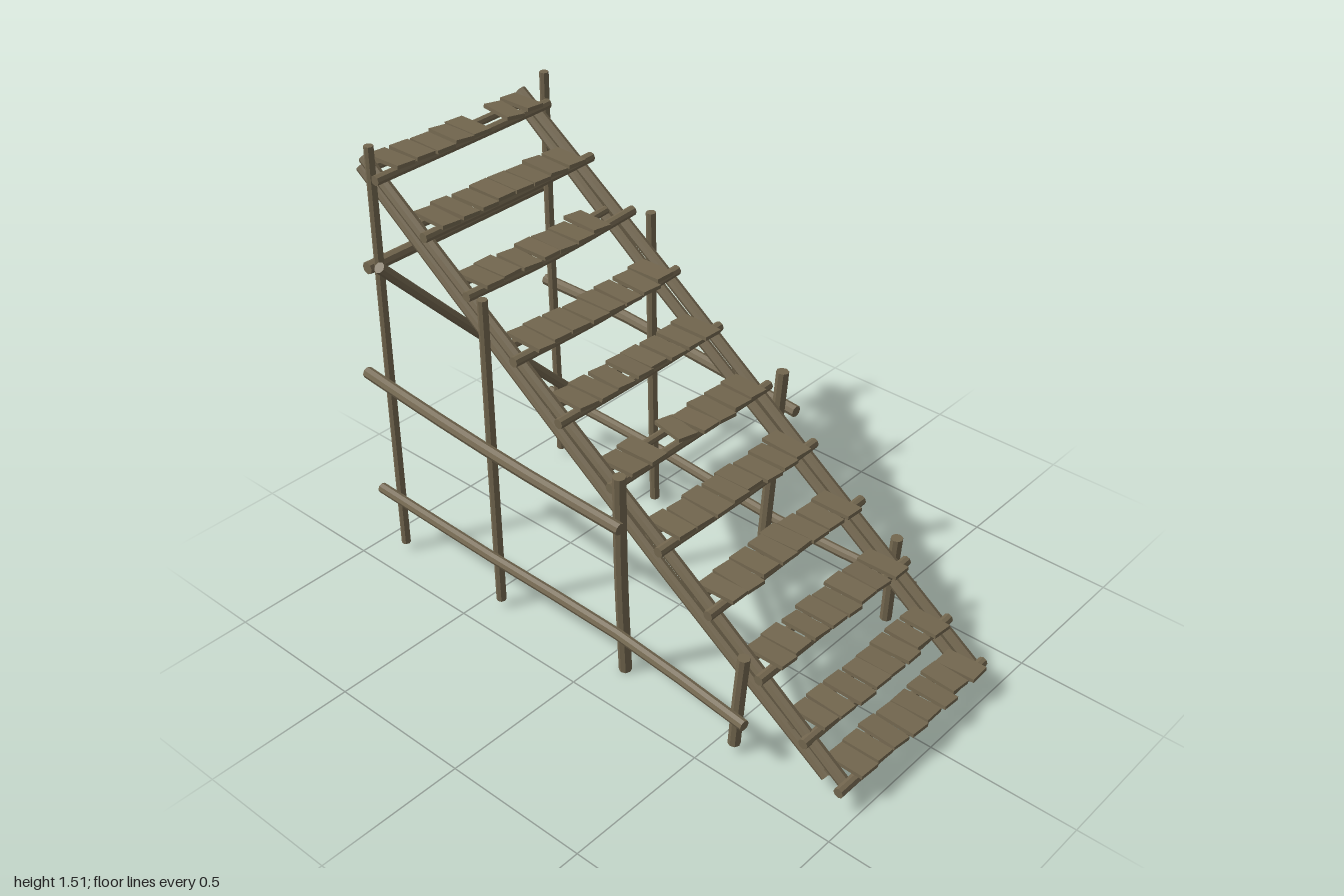
import * as THREE from 'three';

const wood = new THREE.MeshStandardMaterial({ color: 0x73674f, flatShading: true });
wood.name = 'weatheredWood';

// small seeded generator for hand-built irregularity
let seed = 11;
const jitter = (a) => {
  seed = (seed * 16807) % 2147483647;
  return (seed / 2147483647 * 2 - 1) * a;
};

// a capped round pole through a few points
function pole(name, pts, r, segments = 6, sides = 8) {
  const curve = new THREE.CatmullRomCurve3(pts.map((p) => new THREE.Vector3(...p)));
  const tube = new THREE.TubeGeometry(curve, segments, r, sides, false);
  const index = Array.from(tube.index.array);
  const last = segments * (sides + 1);
  for (let j = 1; j < sides - 1; j++) {
    index.push(0, j, j + 1, last, last + j + 1, last + j);
  }
  tube.setIndex(index);
  const geo = tube.toNonIndexed();
  geo.computeVertexNormals();
  const mesh = new THREE.Mesh(geo, wood);
  mesh.name = name;
  return mesh;
}

export function createModel() {
  const root = new THREE.Group();
  root.name = 'woodenStairway';

  for (const side of [1, -1]) {
    const label = side > 0 ? 'left' : 'right';
    // the frame sits slightly toward -x
    const X = (v) => side * v - 0.014;

    // paired sloping stringers
    root.add(pole(label + 'UpperStringer', [
      [X(0.332), 0.06, 0.95], [X(0.329), 0.505, 0.33], [X(0.334), 0.965, -0.31], [X(0.33), 1.435, -0.97]], 0.02));
    root.add(pole(label + 'LowerStringer', [
      [X(0.33), 0.055, 0.87], [X(0.335), 0.49, 0.25], [X(0.33), 0.935, -0.37], [X(0.332), 1.4, -0.985]], 0.019));

    // upright posts, front to back
    root.add(pole(label + 'FrontPost', [
      [X(0.382), 0.03, 0.565], [X(0.378), 0.2, 0.575], [X(0.374), 0.37, 0.588]], 0.02));
    root.add(pole(label + 'LowerMiddlePost', [
      [X(0.334), 0.003, 0.08], [X(0.358), 0.4, 0.093], [X(0.377), 0.785, 0.112]], 0.021));
    root.add(pole(label + 'UpperMiddlePost', [
      [X(0.375), 0.03, -0.435], [X(0.371), 0.6, -0.437], [X(0.369), 1.16, -0.435]], 0.0165));
    root.add(pole(label + 'BackPost', [
      [X(0.378), 0.03, -0.9], [X(0.371), 0.8, -0.902], [X(0.368), 1.51, -0.895]], 0.0155));

    // long side rails tying the posts together
    root.add(pole(label + 'UpperSideRail', [
      [X(0.412), 0.63, 0.145], [X(0.422), 0.655, -0.25], [X(0.422), 0.685, -0.65], [X(0.406), 0.7, -0.97]], 0.02));
    root.add(pole(label + 'LowerSideRail', [
      [X(0.423), 0.17, 0.635], [X(0.388), 0.19, 0.13], [X(0.402), 0.22, -0.45], [X(0.4), 0.237, -0.97]], 0.018));
  }

  // back bracing
  root.add(pole('backCrossbar', [[-0.4, 1.085, -0.94], [0, 1.083, -0.942], [0.37, 1.085, -0.94]], 0.021));
  root.add(pole('diagonalBrace', [[-0.412, 1.12, -0.865], [0.01, 0.675, -0.87], [0.435, 0.237, -0.865]], 0.019));

  // treads: two cross poles with short planks laid over them
  const steps = [
    [0.95, 0.082], [0.81, 0.176], [0.64, 0.315], [0.45, 0.452], [0.26, 0.586], [0.07, 0.722],
    [-0.13, 0.862], [-0.31, 1.0], [-0.51, 1.14], [-0.69, 1.272], [-0.87, 1.408]];
  const missing = { 5: 2, 8: 7, 10: 5 };
  const plankX = [-0.287, -0.21, -0.128, -0.046, 0.024, 0.102, 0.18, 0.26];
  const plankGeo = new THREE.BoxGeometry(1, 1, 1);

  steps.forEach(([z, y], i) => {
    const tread = new THREE.Group();
    tread.name = 'tread' + (i + 1);
    const sag = i === 7 || i === 8 ? 0.014 : 0.003;
    tread.add(pole('frontCrossPole', [
      [-0.385 + jitter(0.012), y - 0.003, z], [-0.01, y - sag, z + jitter(0.004)], [0.345 + jitter(0.01), y + 0.003, z]], 0.017));
    tread.add(pole('backCrossPole', [
      [-0.35, y, z - 0.073], [-0.01, y - sag, z - 0.073 + jitter(0.004)], [0.325, y, z - 0.073]], 0.014));
    plankX.forEach((x, k) => {
      if (missing[i] === k) return;
      const plank = new THREE.Mesh(plankGeo, wood);
      plank.name = 'plank';
      plank.scale.set(0.071 + jitter(0.005), 0.013, 0.136 + jitter(0.01));
      const dip = sag * (1 - (x / 0.36) ** 2);
      plank.position.set(x + jitter(0.003), y + 0.023 - dip + jitter(0.002), z - 0.035 + jitter(0.008));
      plank.rotation.set(jitter(0.03), jitter(0.05), -0.06 + jitter(0.05));
      // a couple of boards knocked askew
      if (i === 5 && k === 3) plank.rotation.y = -0.22;
      if (i === 10 && k === 6) plank.rotation.y = -0.16;
      tread.add(plank);
    });
    root.add(tread);
  });

  return root;
}
